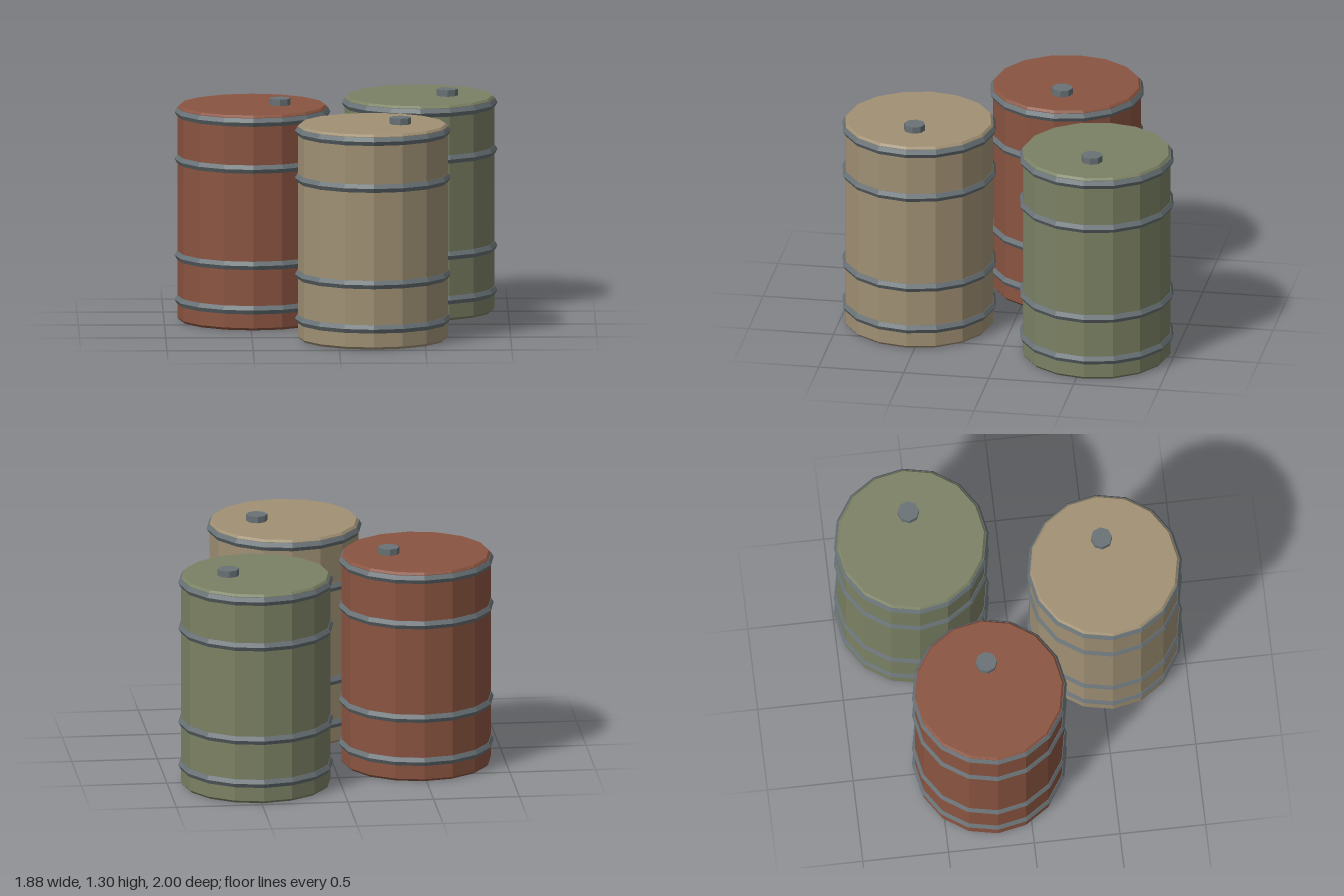
import * as THREE from 'three';

const SIDES = 16;

function paint(name, color) {
  const material = new THREE.MeshStandardMaterial({ color, flatShading: true });
  material.name = name;
  return material;
}

function part(name, geometry, material, x = 0, y = 0, z = 0) {
  const mesh = new THREE.Mesh(geometry, material);
  mesh.name = name;
  mesh.position.set(x, y, z);
  return mesh;
}

export function createModel() {
  const steel = paint('steel grey', 0x697276);

  // Closed drum shell with small bevels at both rims
  const profile = [[0, 0], [0.423, 0], [0.435, 0.014], [0.435, 1.247], [0.423, 1.26], [0, 1.26]];
  const shell = new THREE.LatheGeometry(profile.map(([r, y]) => new THREE.Vector2(r, y)), SIDES);

  // Six-sided hoop lying flat, and the filler cap
  const hoop = new THREE.TorusGeometry(0.424, 0.028, 6, SIDES).rotateX(-Math.PI / 2);
  const cap = new THREE.CylinderGeometry(0.062, 0.062, 0.06, 8);

  const drums = [
    ['redDrum', paint('rust red', 0x8a5441), -0.487, -0.203],
    ['tanDrum', paint('sand tan', 0xa09074), 0.2, 0.547],
    ['greenDrum', paint('olive green', 0x7b8164), 0.487, -0.547],
  ];

  const model = new THREE.Group();
  model.name = 'drumCluster';
  for (const [name, material, x, z] of drums) {
    const drum = new THREE.Group();
    drum.name = name;
    drum.position.set(x, 0, z);
    drum.add(part('shell', shell, material));
    // Two rim hoops and two body hoops
    [0.12, 0.38, 0.945, 1.22].forEach((y, i) => drum.add(part(`hoop${i + 1}`, hoop, steel, 0, y)));
    drum.add(part('fillerCap', cap, steel, 0.16, 1.268));
    model.add(drum);
  }
  return model;
}
